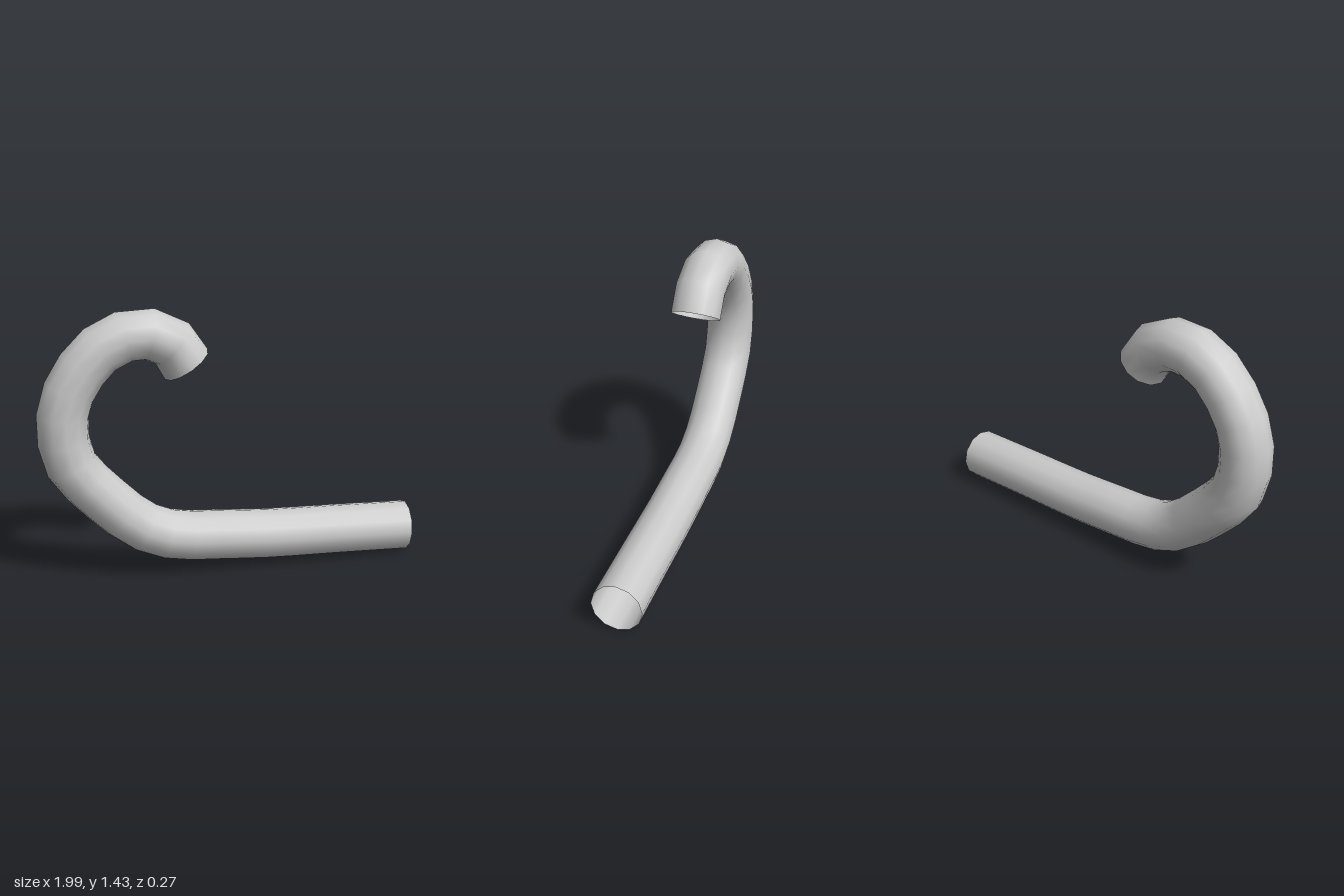
import * as THREE from 'three';

export function createModel() {
  const group = new THREE.Group();

  // Centre line of the hook, from the curled tip round to the end of the straight shank
  const path = new THREE.CatmullRomCurve3([
    [-0.225, 1.135], [-0.30, 1.25], [-0.47, 1.31], [-0.65, 1.25],
    [-0.757, 1.145], [-0.84, 1.0], [-0.867, 0.84], [-0.83, 0.65],
    [-0.76, 0.55], [-0.635, 0.42], [-0.49, 0.29], [-0.32, 0.215],
    [0, 0.182], [0.2, 0.166], [0.6, 0.152], [0.99, 0.137],
  ].map(([x, y]) => new THREE.Vector3(x, y, 0)), false, 'centripetal');

  // Hollow pipe, open at both ends
  const pipe = new THREE.Mesh(
    new THREE.TubeGeometry(path, 24, 0.133, 12, false),
    new THREE.MeshStandardMaterial({ color: 0xcccccc, side: THREE.DoubleSide })
  );
  pipe.name = 'hookedPipe';
  group.add(pipe);
  return group;
}
